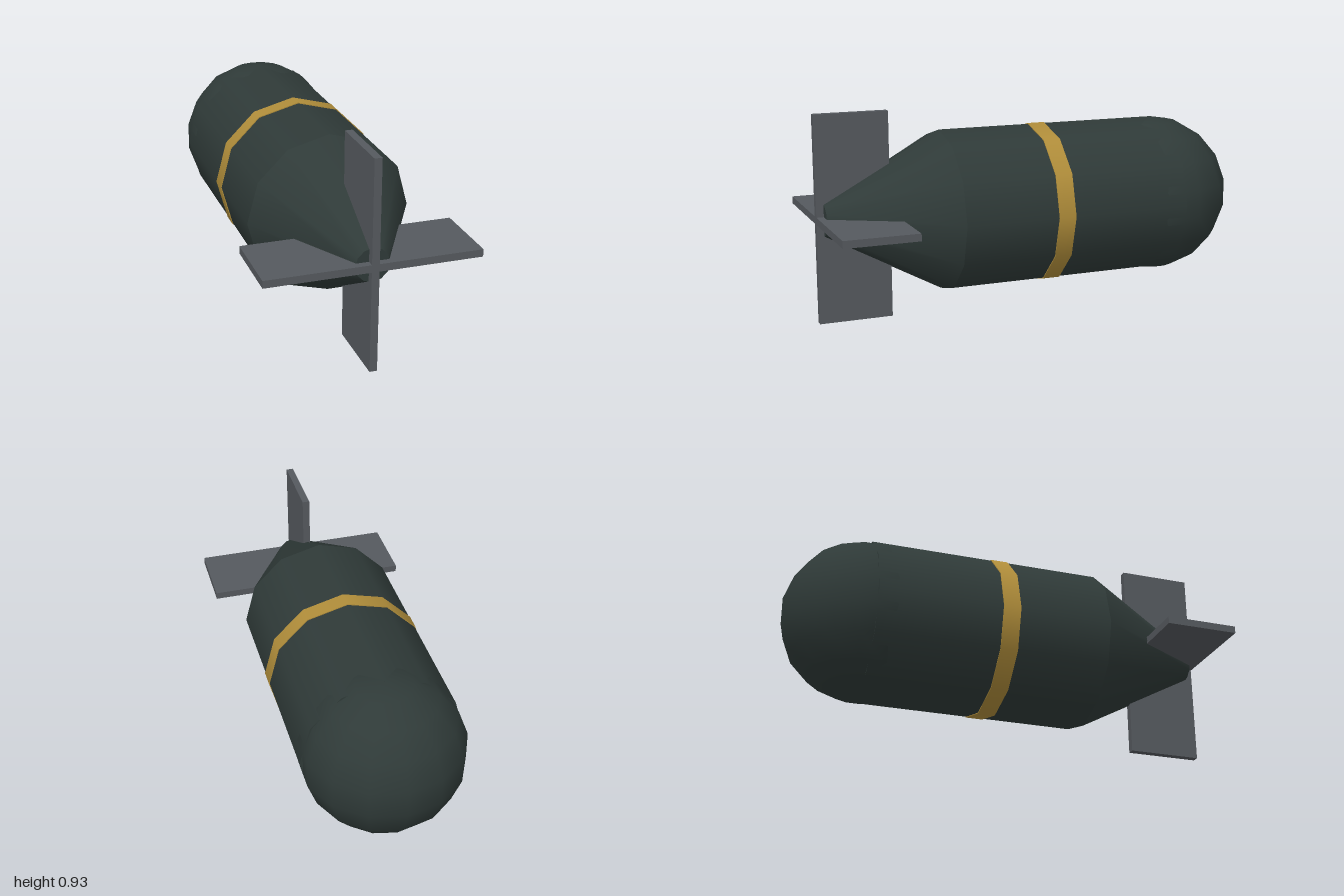
import * as THREE from 'three';

const R = 0.367; // body radius
const AXIS = 0.467; // height of the long axis

export function createModel() {
  const group = new THREE.Group();
  const paint = (name, color) => {
    const m = new THREE.MeshStandardMaterial({ color });
    m.name = name;
    return m;
  };
  const darkGreen = paint('dark green', 0x2f3a38);
  const yellow = paint('ochre yellow', 0xb08d3a);
  const grey = paint('fin grey', 0x55595e);

  const add = (name, geometry, material, z) => {
    const mesh = new THREE.Mesh(geometry, material);
    mesh.name = name;
    mesh.position.set(0, AXIS, z);
    group.add(mesh);
  };
  // twelve-sided section along z
  const section = (name, rFront, rBack, z0, z1, material) =>
    add(name, new THREE.CylinderGeometry(rFront, rBack, z1 - z0, 12).rotateX(Math.PI / 2), material, (z0 + z1) / 2);

  section('body', R, R, -0.64, 0.43, darkGreen);
  section('tailCone', 0.075, R, 0.43, 0.967, darkGreen);
  section('band', R + 0.004, R + 0.004, -0.08, 0, yellow);

  // rounded nose, a sphere sunk into the end of the body
  add('nose', new THREE.SphereGeometry(R, 14, 9).rotateY(Math.PI / 2), darkGreen, -0.633);

  // crossed tail fins
  add('verticalFin', new THREE.BoxGeometry(0.033, 2 * AXIS, 0.333), grey, 0.8335);
  add('horizontalFin', new THREE.BoxGeometry(2 * AXIS, 0.033, 0.333), grey, 0.8335);

  return group;
}
